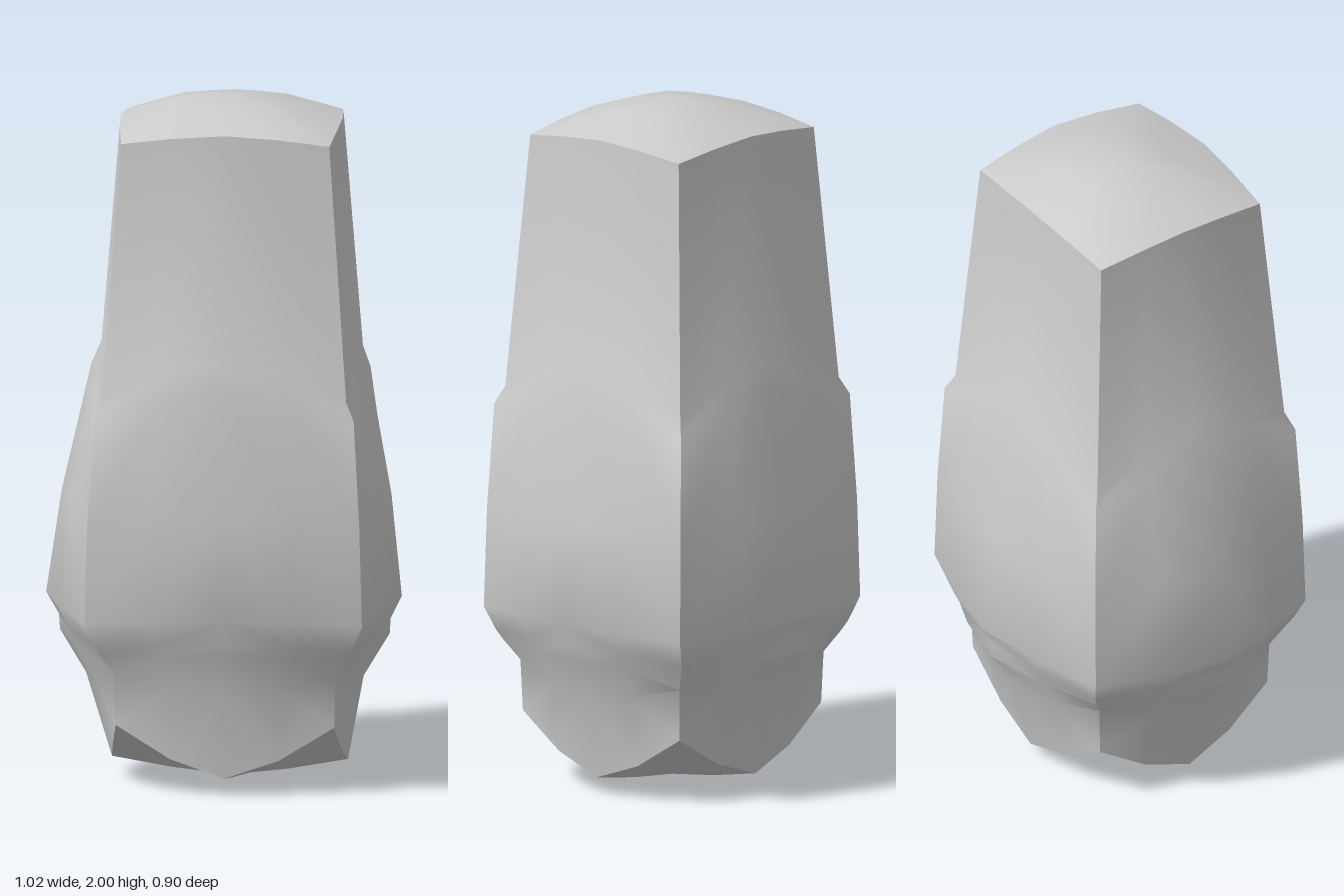
import * as THREE from 'three';
import { toCreasedNormals } from 'three/addons/utils/BufferGeometryUtils.js';

const CX = 0.02, CZ = 0.035, SIDES = 16;

// One rounded-square ring: corners (half sizes, height) and side middles
// (left, right, back, front positions, height), with arched points between.
function ring([hx, hz, yc, minX, maxX, minZ, maxZ, ym]) {
  const corners = [[1, 1], [1, -1], [-1, -1], [-1, 1]]
    .map(([sx, sz]) => new THREE.Vector3(CX + sx * hx, yc, CZ + sz * hz));
  const mids = [[maxX, CZ], [CX, minZ], [minX, CZ], [CX, maxZ]]
    .map(([x, z]) => new THREE.Vector3(x, ym, z));
  const arch = (c, m, alongX) => {
    const p = c.clone().lerp(m, 0.64);
    if (alongX) p.x = (c.x + m.x) / 2;
    else p.z = (c.z + m.z) / 2;
    return p;
  };
  const points = [];
  for (let i = 0; i < 4; i++) {
    const a = corners[i], m = mids[i], b = corners[(i + 1) % 4], alongX = i % 2 === 1;
    points.push(a, arch(a, m, alongX), m, arch(b, m, alongX));
  }
  return points;
}

// Ring shrunk towards the axis, for the domed ends
function capRing(base, scale, toY, rise) {
  return base.map((p) => new THREE.Vector3(
    CX + (p.x - CX) * scale, p.y + (toY - p.y) * rise, CZ + (p.z - CZ) * scale));
}

function loft(rings, bottomY, topY) {
  const pos = [], index = [], last = rings.length - 1;
  for (const r of rings) for (const p of r) pos.push(p.x, p.y, p.z);
  const bottom = pos.length / 3, top = bottom + 1;
  pos.push(CX, bottomY, CZ, CX, topY, CZ);
  for (let i = 0; i < SIDES; i++) {
    const j = (i + 1) % SIDES;
    for (let k = 0; k < last; k++) {
      const a = k * SIDES + i, b = k * SIDES + j, c = b + SIDES, d = a + SIDES;
      // mirror the diagonals so each side stays symmetric
      if (i % 4 < 2) index.push(a, b, c, a, c, d);
      else index.push(a, b, d, b, c, d);
    }
    index.push(bottom, j, i, top, last * SIDES + i, last * SIDES + j);
  }
  const g = new THREE.BufferGeometry();
  g.setAttribute('position', new THREE.Float32BufferAttribute(pos, 3));
  g.setIndex(index);
  return toCreasedNormals(g, 0.65);
}

export function createModel() {
  const group = new THREE.Group();
  group.name = 'taperedBlock';

  // corner half x, half z, y | left, right, back, front, y
  const sections = [
    [0.315, 0.295, 0.20, -0.325, 0.355, -0.28, 0.35, 0.05],   // foot rim
    [0.32, 0.30, 0.35, -0.40, 0.40, -0.34, 0.375, 0.295],     // top of foot
    [0.355, 0.335, 0.41, -0.475, 0.475, -0.42, 0.425, 0.42],  // lower step
    [0.37, 0.35, 0.44, -0.478, 0.478, -0.418, 0.43, 0.465],
    [0.40, 0.37, 0.51, -0.515, 0.51, -0.45, 0.455, 0.53],     // widest line
    [0.392, 0.365, 0.80, -0.47, 0.48, -0.41, 0.435, 0.83],
    [0.375, 0.352, 1.11, -0.385, 0.415, -0.345, 0.405, 1.20], // shoulder step
    [0.352, 0.33, 1.16, -0.355, 0.395, -0.318, 0.388, 1.27],
    [0.30, 0.28, 1.90, -0.30, 0.34, -0.265, 0.33, 1.93],      // top rim
  ];
  const rings = sections.map(ring);
  rings.unshift(capRing(rings[0], 0.5, 0, 0.6));
  rings.push(capRing(rings[rings.length - 1], 0.5, 2, 0.7));

  const body = new THREE.Mesh(loft(rings, 0, 2), new THREE.MeshStandardMaterial({ color: 0xcccccc }));
  body.name = 'body';
  group.add(body);
  return group;
}
